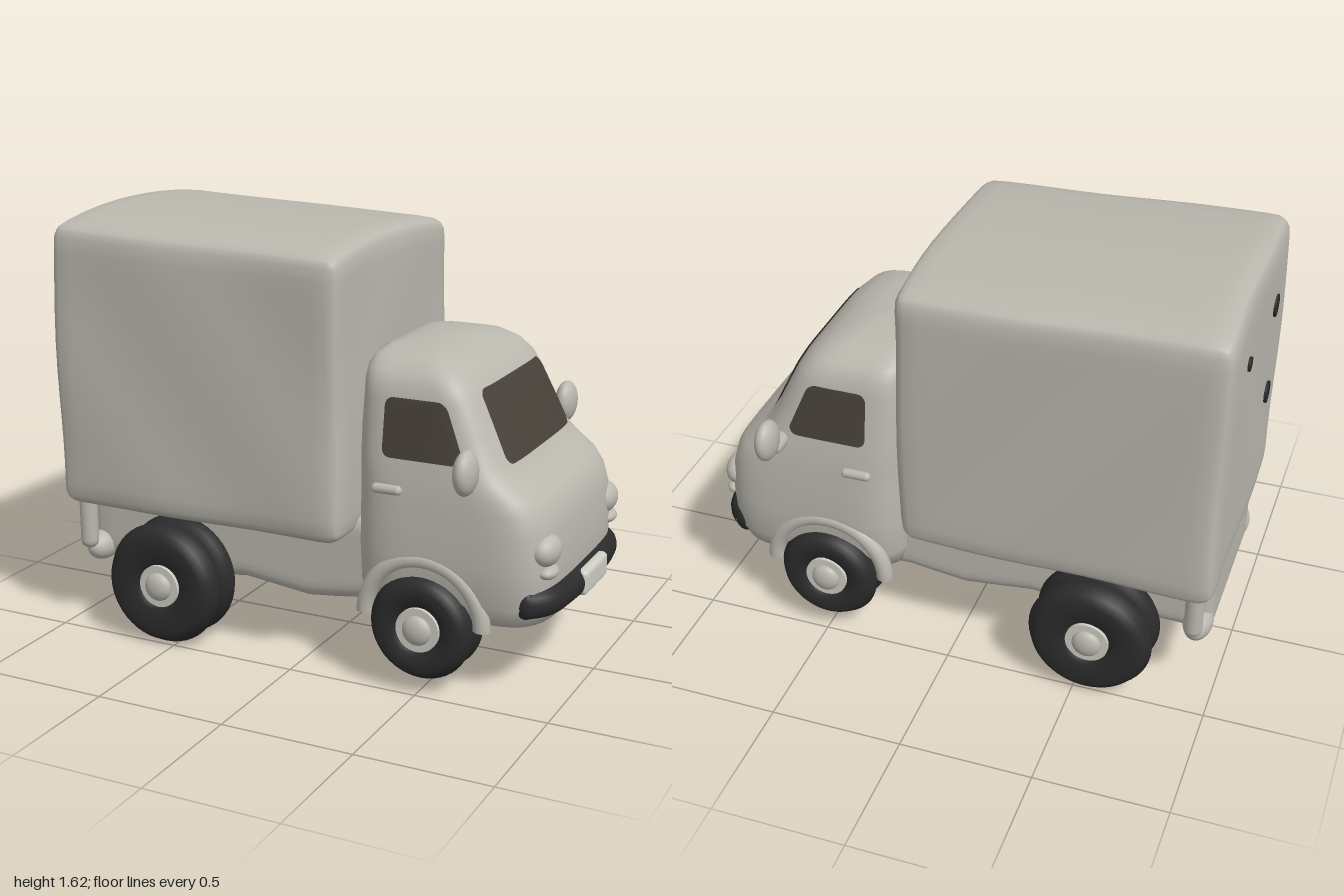
import * as THREE from 'three';
import { mergeVertices } from 'three/addons/utils/BufferGeometryUtils.js';

const mat = (name, color, side = THREE.FrontSide) => {
  const m = new THREE.MeshStandardMaterial({ color, side });
  m.name = name;
  return m;
};

// Cab outline by height: y, back x, front x, half width
const CAB = [
  [0.27, 0.26, 0.84, 0.36], [0.285, 0.215, 0.92, 0.42], [0.36, 0.2, 0.945, 0.455],
  [0.5, 0.195, 0.95, 0.46], [0.62, 0.195, 0.94, 0.455], [0.69, 0.195, 0.92, 0.45],
  [0.74, 0.195, 0.885, 0.447], [0.79, 0.195, 0.82, 0.44], [0.84, 0.195, 0.768, 0.433],
  [0.95, 0.195, 0.715, 0.415], [1.05, 0.2, 0.665, 0.4], [1.1, 0.2, 0.635, 0.387],
  [1.145, 0.205, 0.59, 0.36], [1.18, 0.22, 0.53, 0.305], [1.197, 0.25, 0.46, 0.22], [1.203, 0.3, 0.4, 0.1],
];
const POWER = 5;

// Interpolated cab section: centre x, half length, half width
function cabSection(y) {
  let i = 0;
  while (i < CAB.length - 2 && CAB[i + 1][0] < y) i++;
  const t = (y - CAB[i][0]) / (CAB[i + 1][0] - CAB[i][0]);
  const [b, f, w] = [1, 2, 3].map((k) => THREE.MathUtils.lerp(CAB[i][k], CAB[i + 1][k], t));
  return { c: (b + f) / 2, a: (f - b) / 2, w };
}
const curve = (u) => Math.pow(Math.max(0, 1 - Math.pow(Math.abs(u), POWER)), 1 / POWER);
const cabSide = (x, y) => { const s = cabSection(y); return s.w * curve((x - s.c) / s.a); };
const cabFront = (z, y) => { const s = cabSection(y); return s.c + s.a * curve(z / s.w); };

// Quad grid surface from rows of points
function gridGeometry(rows) {
  const n = rows[0].length, index = [];
  for (let j = 0; j < rows.length - 1; j++)
    for (let i = 0; i < n - 1; i++) {
      const a = j * n + i, b = a + n;
      index.push(a, b, a + 1, a + 1, b, b + 1);
    }
  const g = new THREE.BufferGeometry();
  g.setAttribute('position', new THREE.Float32BufferAttribute(rows.flat(2), 3));
  g.setIndex(index);
  const merged = mergeVertices(g, 1e-5);
  merged.computeVertexNormals();
  return merged;
}

function cabGeometry() {
  const N = 80, sp = (v) => Math.sign(v) * Math.pow(Math.abs(v), 2 / POWER);
  const ring = (y, c, a, w) => Array.from({ length: N + 1 }, (_, i) => {
    const t = ((i % N) / N) * Math.PI * 2;
    return [c + a * sp(Math.cos(t)), y, w * sp(Math.sin(t))];
  });
  const rows = CAB.map(([y, b, f, w]) => ring(y, (b + f) / 2, (f - b) / 2, w));
  rows.unshift(ring(0.27, 0.55, 0, 0));
  rows.push(ring(1.204, 0.35, 0, 0));
  return gridGeometry(rows);
}

// Rounded window that follows the cab surface
function windowGeometry(y0, y1, limits, r, place) {
  const rows = [];
  for (let j = 0; j <= 20; j++) {
    const y = (y0 + y1) / 2 - ((y1 - y0) / 2) * Math.cos((j / 20) * Math.PI);
    const d = Math.max(0, r - Math.min(y - y0, y1 - y));
    const inset = r - Math.sqrt(Math.max(0, r * r - d * d));
    const [a, b] = limits(y);
    rows.push(Array.from({ length: 17 }, (_, i) => place(THREE.MathUtils.lerp(a + inset, b - inset, i / 16), y)));
  }
  return gridGeometry(rows);
}

// Soft box, with vertices gathered near the rounded edges
function softBox(w, h, d, r, bend) {
  const g0 = new THREE.BoxGeometry(2, 2, 2, 16, 16, 16);
  g0.deleteAttribute('uv');
  g0.deleteAttribute('normal');
  const g = mergeVertices(g0), p = g.attributes.position;
  const half = new THREE.Vector3(w / 2, h / 2, d / 2), inner = half.clone().subScalar(r);
  const v = new THREE.Vector3(), q = new THREE.Vector3();
  for (let i = 0; i < p.count; i++) {
    v.fromBufferAttribute(p, i);
    v.set(...v.toArray().map((u) => Math.sin((u * Math.PI) / 2))).multiply(half);
    q.copy(v).clamp(inner.clone().negate(), inner);
    v.sub(q).setLength(r).add(q);
    if (bend) bend(v);
    p.setXYZ(i, v.x, v.y, v.z);
  }
  g.computeVertexNormals();
  return g;
}

export function createModel() {
  const body = mat('warm grey body', 0xbab7ae);
  const rubber = mat('black rubber', 0x2b2b2b);
  const glass = mat('dark glass', 0x48413a, THREE.DoubleSide);
  const pale = mat('pale metal', 0xcdcdc3);
  const truck = new THREE.Group();
  truck.name = 'truck';
  const add = (name, geo, material, x = 0, y = 0, z = 0, parent = truck) => {
    const m = new THREE.Mesh(geo, material);
    m.name = name;
    m.position.set(x, y, z);
    parent.add(m);
    return m;
  };
  const ball = (sx, sy, sz) => new THREE.SphereGeometry(1, 28, 20).scale(sx, sy, sz);

  // Cargo box with a crowned roof and slightly uneven walls
  add('cargoBox', softBox(1.19, 1.06, 1.0, 0.065, (v) => {
    if (v.y > 0.3) v.y += (0.045 * (1 - (v.z / 0.5) ** 2) - 0.02 * (v.x / 0.6)) * ((v.y - 0.3) / 0.23);
    v.z += 0.005 * Math.sin(v.x * 9 + v.y * 7) + Math.sign(v.z) * 0.012 * (1 - v.x / 0.6) * 0.5;
    v.x += 0.004 * Math.sin(v.z * 8 + v.y * 6);
  }), body, -0.4, 1.03, 0);
  for (const [y, z, r] of [[1.33, 0.25, 0.042], [0.96, 0.25, 0.042], [1.36, -0.22, 0.026]])
    add('rearSpot', new THREE.CylinderGeometry(r, r, 0.009, 24).rotateZ(Math.PI / 2), rubber, -0.999, y, z);

  // Chassis and axles
  add('chassis', softBox(1.38, 0.34, 0.68, 0.06, (v) => {
    if (v.y < 0) v.y += 0.015 * Math.cos(v.x * 12);
  }), body, -0.28, 0.405, 0);
  for (const x of [-0.55, 0.5])
    add('axle', new THREE.CapsuleGeometry(0.1, 0.42, 8, 20).rotateX(Math.PI / 2), body, x, 0.25, 0);

  // Cab and windscreen
  add('cab', cabGeometry(), body);
  add('windscreen', windowGeometry(0.84, 1.09, (y) => {
    const e = 0.315 - (y - 0.84) * 0.1;
    return [-e, e];
  }, 0.035, (z, y) => [cabFront(z, y) + 0.008, y, z]), glass);

  // Bumper and front plate
  const path = new THREE.CatmullRomCurve3([[0.87, -0.4], [0.925, -0.33], [0.95, -0.16], [0.953, 0], [0.95, 0.16], [0.925, 0.33], [0.87, 0.4]]
    .map(([x, z]) => new THREE.Vector3(x, 0, z)));
  add('bumper', new THREE.TubeGeometry(path, 40, 0.04, 14).scale(1, 1.3, 1), rubber, 0, 0.375, 0);
  add('frontPlate', softBox(0.06, 0.095, 0.25, 0.02), pale, 0.97, 0.375, 0);

  for (const s of [1, -1]) {
    // Side details, mirrored
    add('sideWindow', windowGeometry(0.85, 1.06, (y) => [0.335, 0.635 - Math.max(0, y - 0.88) * 0.42], 0.03,
      (x, y) => [x, y, s * (cabSide(x, y) + 0.006)]), glass);
    add('doorHandle', new THREE.CapsuleGeometry(0.018, 0.08, 6, 12).rotateZ(Math.PI / 2), body, 0.365, 0.74, s * 0.455);
    add('headlight', ball(0.055, 0.06, 0.08), body, 0.908, 0.56, s * 0.32);
    add('turnSignal', ball(0.035, 0.025, 0.055), body, 0.925, 0.485, s * 0.33);
    add('mirror', ball(0.04, 0.08, 0.072), body, 0.685, 0.86, s * 0.515);
    add('mirrorArm', new THREE.CapsuleGeometry(0.028, 0.1, 6, 12).rotateX(Math.PI / 2), body, 0.67, 0.815, s * 0.43);
    add('bumperEnd', ball(0.04, 0.052, 0.03), rubber, 0.87, 0.375, s * 0.4);
    add('wheelArch', new THREE.TorusGeometry(0.225, 0.032, 12, 32, Math.PI), body, 0.5, 0.265, s * 0.435);
    add('rearBracket', new THREE.CapsuleGeometry(0.035, 0.16, 8, 14), body, -0.92, 0.42, s * 0.42);
    add('rearBracketFoot', ball(0.055, 0.06, 0.09), body, -0.92, 0.29, s * 0.32);

    // Wheels with a grooved double tread
    for (const [name, x, y, r, outer] of [['frontWheel', 0.5, 0.245, 0.195, 0.5], ['rearWheel', -0.55, 0.238, 0.236, 0.53]]) {
      const wheel = new THREE.Group();
      wheel.name = name;
      wheel.position.set(x, y, 0);
      wheel.rotation.y = s > 0 ? 0 : Math.PI;
      truck.add(wheel);
      const inner = 0.29, w = outer - inner;
      const profile = [[0.01, 0], [r * 0.75, 0], [r - 0.02, 0.025], [r, w * 0.25], [r - 0.008, w * 0.42], [r - 0.025, w * 0.52],
        [r - 0.008, w * 0.62], [r, w * 0.76], [r - 0.02, w - 0.02], [r * 0.78, w], [0.1, w - 0.006], [0.08, w - 0.03]]
        .map(([a, b]) => new THREE.Vector2(a, b));
      add('tyre', new THREE.LatheGeometry(profile, 48).rotateX(Math.PI / 2), rubber, 0, 0, inner, wheel);
      add('rim', new THREE.CylinderGeometry(0.082, 0.082, 0.03, 36).rotateX(Math.PI / 2), pale, 0, 0, outer - 0.028, wheel);
      add('hub', ball(0.055, 0.055, 0.03), body, 0, 0, outer - 0.012, wheel);
    }
  }
  return truck;
}
